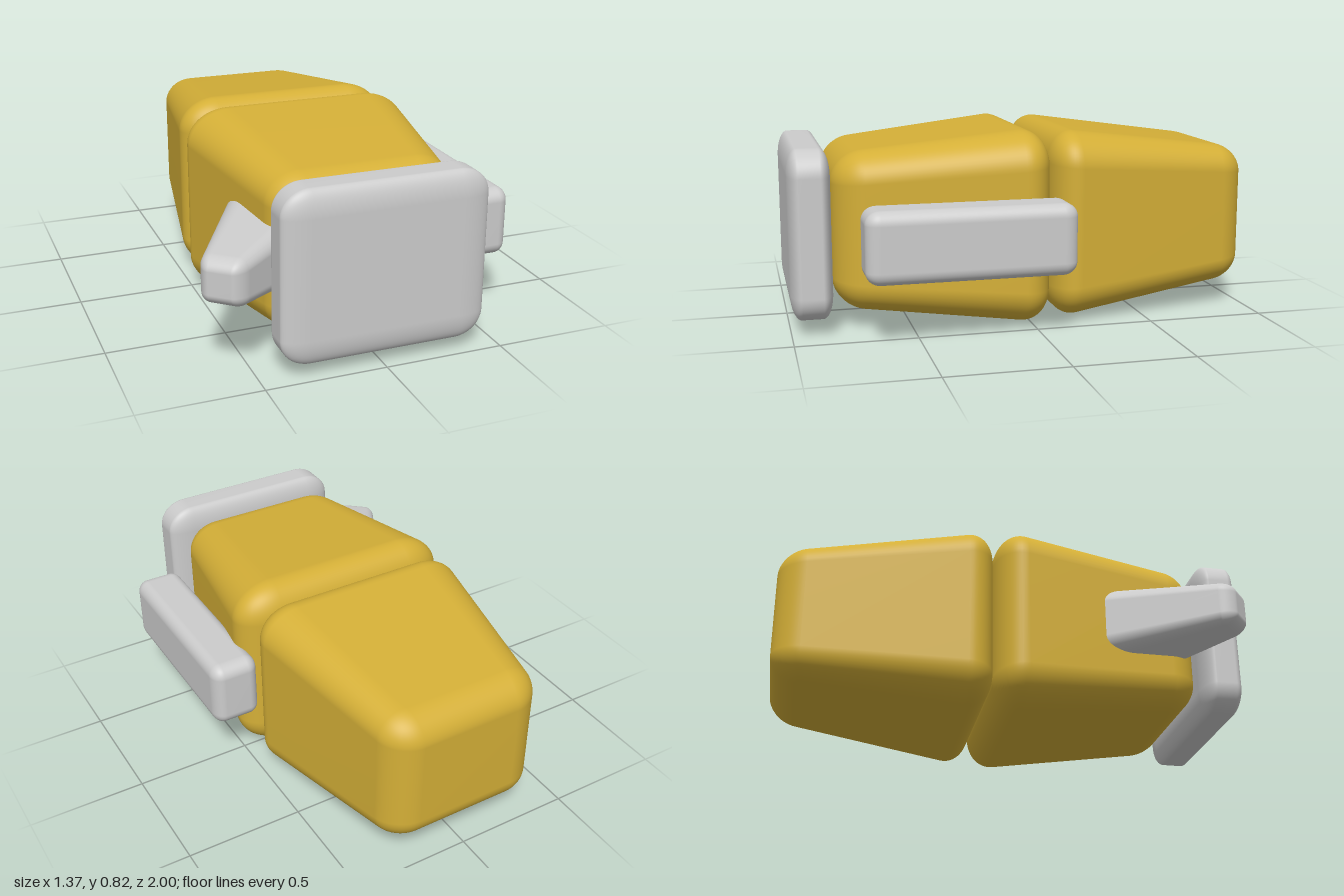
import * as THREE from 'three';
import { RoundedBoxGeometry } from 'three/addons/geometries/RoundedBoxGeometry.js';
import { mergeVertices } from 'three/addons/utils/BufferGeometryUtils.js';

const grey = new THREE.MeshStandardMaterial({ color: 0xcccccc });
const gold = new THREE.MeshStandardMaterial({ color: 0xd4af37 });

// Soft box along z: [width, height] at the back and front ends, with one rounding radius per axis
function softBox(name, material, back, front, depth, [rx, ry, rz], position) {
  const w = Math.max(back[0], front[0]);
  const h = Math.max(back[1], front[1]);
  let geo = new RoundedBoxGeometry(w / rx, h / ry, depth / rz, 8, 1);
  geo.scale(rx, ry, rz);
  geo.deleteAttribute('normal');
  geo.deleteAttribute('uv');
  geo = mergeVertices(geo, 1e-4);
  const p = geo.attributes.position;
  for (let i = 0; i < p.count; i++) {
    const t = p.getZ(i) / depth + 0.5;
    p.setX(i, p.getX(i) * THREE.MathUtils.lerp(back[0], front[0], t) / w);
    p.setY(i, p.getY(i) * THREE.MathUtils.lerp(back[1], front[1], t) / h);
  }
  geo.computeVertexNormals();
  const mesh = new THREE.Mesh(geo, material);
  mesh.name = name;
  mesh.position.set(...position);
  return mesh;
}

export function createModel() {
  const model = new THREE.Group();
  model.name = 'body';

  // Two tapered halves meeting at their wide ends
  model.add(softBox('frontBody', gold, [1.05, 0.845], [0.75, 0.645], 0.905, [0.2, 0.16, 0.13], [0, 0.413, 0.3675]));
  model.add(softBox('rearBody', gold, [0.68, 0.585], [1.0, 0.825], 0.915, [0.18, 0.15, 0.12], [0, 0.415, -0.5425]));

  // Flat front plate
  model.add(softBox('frontPlate', grey, [0.854, 0.71], [0.854, 0.71], 0.175, [0.12, 0.11, 0.045], [0, 0.415, 0.9125]));

  // Straight arm on the left, flared arm angled out on the right
  model.add(softBox('leftArm', grey, [0.21, 0.295], [0.21, 0.295], 0.855, [0.05, 0.055, 0.06], [0.57, 0.4125, 0.3]));
  const rightArm = softBox('rightArm', grey, [0.43, 0.33], [0.17, 0.18], 0.6, [0.1, 0.08, 0.06], [-0.447, 0.418, 0.685]);
  rightArm.rotation.y = -0.72;
  model.add(rightArm);

  return model;
}
